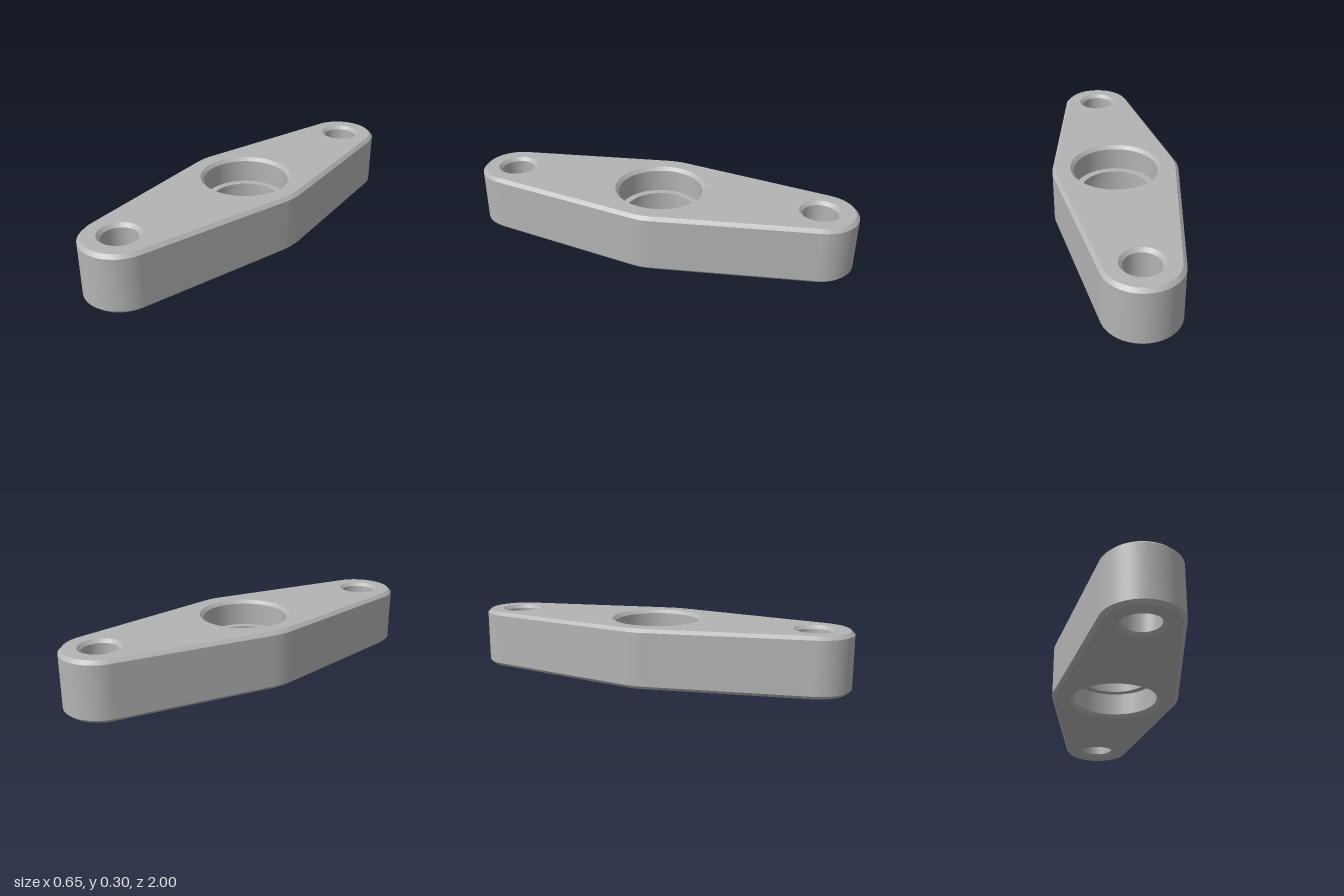
import * as THREE from 'three';

const HEIGHT = 0.3, CHAMFER = 0.017;
const HUB_R = 0.324, END_R = 0.187, END_Z = 1 - END_R;

// Points of an arc, each with its outward angle
function arc(cz, r, from, to, steps) {
  return Array.from({ length: steps + 1 }, (_, i) => {
    const a = from + ((to - from) * i) / steps;
    return { x: r * Math.cos(a), z: cz + r * Math.sin(a), a };
  });
}

// Flange outline: a hub and two end arcs joined by tangent lines
function outline(inset) {
  const t = Math.asin((HUB_R - END_R) / END_Z), PI = Math.PI;
  const hub = HUB_R - inset, end = END_R - inset;
  return [
    ...arc(0, hub, -t, t, 8),
    ...arc(END_Z, end, t, PI - t, 32),
    ...arc(0, hub, PI - t, PI + t, 8),
    ...arc(-END_Z, end, PI + t, 2 * PI - t, 32),
  ];
}

const circle = (r) => arc(0, r, 0, Math.PI * 2, 64);

// Sweep a [size, y] profile around a ring, smooth around and sharp between bands
function sweep(ring, profile) {
  const pos = [], nor = [], idx = [];
  for (let b = 0; b < profile.length - 1; b++) {
    const [s0, y0] = profile[b], [s1, y1] = profile[b + 1];
    const low = ring(s0), high = ring(s1), n = low.length, base = pos.length / 3;
    // a growing inset moves inward, a growing radius moves outward
    const dr = ring === outline ? s0 - s1 : s1 - s0, dy = y1 - y0;
    const len = Math.hypot(dr, dy);
    for (let i = 0; i < n; i++) {
      const { a } = low[i];
      pos.push(low[i].x, y0, low[i].z, high[i].x, y1, high[i].z);
      for (let k = 0; k < 2; k++) nor.push((Math.cos(a) * dy) / len, -dr / len, (Math.sin(a) * dy) / len);
      const p = base + i * 2, q = base + ((i + 1) % n) * 2;
      idx.push(p, p + 1, q, p + 1, q + 1, q);
    }
  }
  const g = new THREE.BufferGeometry();
  g.setAttribute('position', new THREE.Float32BufferAttribute(pos, 3));
  g.setAttribute('normal', new THREE.Float32BufferAttribute(nor, 3));
  g.setIndex(idx);
  return g;
}

export function createModel() {
  const group = new THREE.Group();
  group.name = 'flange';
  const steel = new THREE.MeshStandardMaterial({ color: 0xb4b4b4 });
  steel.name = 'grey steel';
  const add = (name, geometry) => {
    const mesh = new THREE.Mesh(geometry, steel);
    mesh.name = name;
    group.add(mesh);
    return mesh;
  };

  const top = HEIGHT, c = CHAMFER;
  const boreR = 0.215, lipR = 0.18, boltR = 0.086;

  // Chamfered outer wall
  add('outerWall', sweep(outline, [[c, 0], [0, c], [0, top - c], [c, top]]));

  // Flat faces pierced by the bore and the bolt holes
  const face = new THREE.Shape(outline(c).map((p) => new THREE.Vector2(p.x, p.z)));
  for (const [z, r] of [[0, boreR + c], [END_Z, boltR + c], [-END_Z, boltR + c]]) {
    face.holes.push(new THREE.Path(circle(r).slice(0, -1).map((p) => new THREE.Vector2(p.x, p.z + z))));
  }
  add('topFace', new THREE.ShapeGeometry(face).rotateX(-Math.PI / 2)).position.y = top;
  add('bottomFace', new THREE.ShapeGeometry(face).rotateX(Math.PI / 2));

  // Central bore with a thin inner lip
  add('centralBore', sweep(circle, [
    [boreR + c, top], [boreR, top - c], [boreR, 0.165], [lipR, 0.165],
    [lipR, 0.135], [boreR, 0.135], [boreR, c], [boreR + c, 0],
  ]));

  // Chamfered bolt holes
  const bolt = sweep(circle, [[boltR + c, top], [boltR, top - c], [boltR, c], [boltR + c, 0]]);
  add('frontBoltHole', bolt).position.z = END_Z;
  add('backBoltHole', bolt).position.z = -END_Z;

  return group;
}
